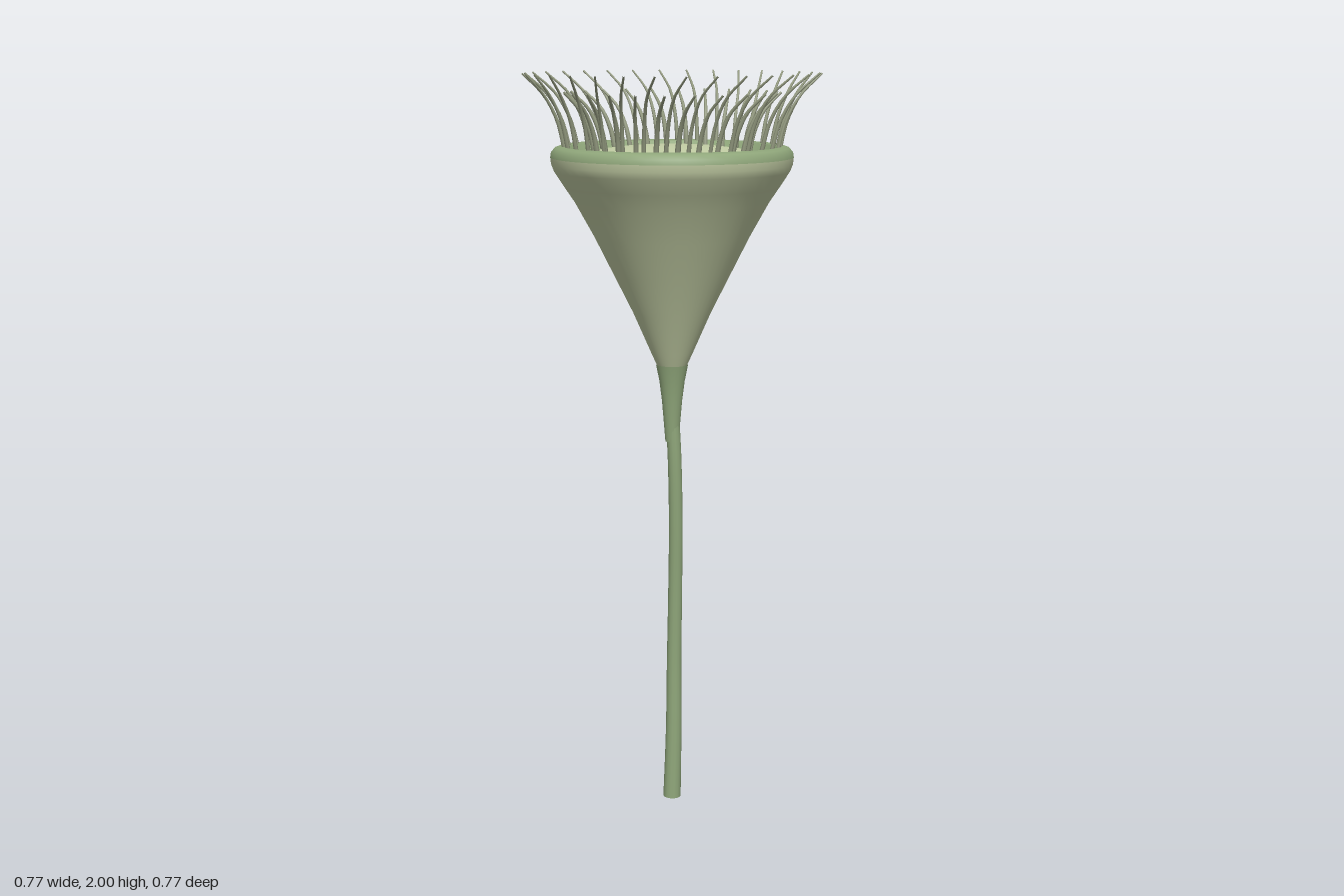
import * as THREE from 'three';
import { toCreasedNormals } from 'three/addons/utils/BufferGeometryUtils.js';

const V = (x, y, z) => new THREE.Vector3(x, y, z);

function material(name, color) {
  const m = new THREE.MeshStandardMaterial({ color });
  m.name = name;
  return m;
}

function mesh(name, geometry, mat) {
  const m = new THREE.Mesh(geometry, mat);
  m.name = name;
  return m;
}

// Surface of revolution from [radius, height] pairs
function lathe(profile, segments = 48) {
  return new THREE.LatheGeometry(profile.map(([r, y]) => new THREE.Vector2(r, y)), segments);
}

// Tube whose radius follows radiusAt(t) along the curve
function taperedTube(points, steps, sides, radiusAt) {
  const curve = new THREE.CatmullRomCurve3(points);
  const geo = new THREE.TubeGeometry(curve, steps, 1, sides);
  const pos = geo.attributes.position;
  const p = V(0, 0, 0);
  for (let i = 0; i <= steps; i++) {
    const centre = curve.getPointAt(i / steps);
    for (let j = 0; j <= sides; j++) {
      const k = i * (sides + 1) + j;
      p.fromBufferAttribute(pos, k).sub(centre).multiplyScalar(radiusAt(i / steps)).add(centre);
      pos.setXYZ(k, p.x, p.y, p.z);
    }
  }
  return geo;
}

// Ring of curved hairs; path rows are [radius, height, angle offset in degrees]
function hairRing(name, count, startDeg, path, baseRadius, tipRadius, mat) {
  const group = new THREE.Group();
  group.name = name;
  const points = path.map(([r, y, deg]) => {
    const a = THREE.MathUtils.degToRad(deg);
    return V(r * Math.cos(a), y, r * Math.sin(a));
  });
  const geo = taperedTube(points, 10, 6, (t) => THREE.MathUtils.lerp(baseRadius, tipRadius, t));
  for (let i = 0; i < count; i++) {
    const hair = mesh('hair', geo, mat);
    hair.rotation.y = -THREE.MathUtils.degToRad(startDeg + (360 / count) * i);
    group.add(hair);
  }
  return group;
}

export function createModel() {
  const pale = material('pale sage', 0xc3cea5);
  const green = material('stalk green', 0x8fa67a);
  const hairMat = material('hair grey green', 0x969d82);

  const model = new THREE.Group();
  model.name = 'bellOrganism';

  // Gently wavy stalk, slightly wider at the foot
  const stalkPath = [
    V(0, 0, 0), V(0.008, 0.2, -0.002), V(0.013, 0.4, -0.006), V(0.014, 0.6, -0.003),
    V(0.010, 0.8, 0.004), V(0.004, 0.98, 0.006), V(0, 1.1, 0.002), V(0, 1.15, 0),
  ];
  model.add(mesh('stalk', taperedTube(stalkPath, 40, 14,
    (t) => 0.0185 + 0.006 * Math.pow(1 - t, 3)), green));
  const foot = mesh('stalkFoot', new THREE.CircleGeometry(0.0245, 14), green);
  foot.rotation.x = Math.PI / 2;
  foot.position.y = 0.0005;
  model.add(foot);

  // Flared neck joining stalk and bell
  model.add(mesh('neck', lathe([
    [0.018, 1.03], [0.022, 1.08], [0.027, 1.14], [0.034, 1.195], [0.043, 1.24],
  ], 24), green));

  // Bell, flaring out to the widest line of the rim
  model.add(mesh('bell', lathe([
    [0.039, 1.235], [0.057, 1.275], [0.103, 1.38], [0.153, 1.48], [0.203, 1.58],
    [0.253, 1.67], [0.280, 1.71], [0.306, 1.75], [0.313, 1.768], [0.315, 1.786],
  ]), pale));

  // Collar: outer bevel, flat lip, sunken groove and rise to the disc
  model.add(mesh('collar', toCreasedNormals(lathe([
    [0.315, 1.786], [0.313, 1.799], [0.304, 1.81], [0.29, 1.815], [0.272, 1.812],
    [0.255, 1.792], [0.24, 1.776], [0.225, 1.784], [0.203, 1.795],
  ]), 0.6), green));

  // Low domed disc inside the collar
  model.add(mesh('disc', toCreasedNormals(lathe([
    [0.208, 1.786], [0.203, 1.795], [0.187, 1.804], [0.125, 1.812], [0.06, 1.816], [0, 1.817],
  ]), 0.3), pale));

  // Two swirling rings of hairs
  model.add(hairRing('outerHairs', 32, 2, [
    [0.277, 1.8, 8.5], [0.297, 1.88, 7], [0.332, 1.945, 4.5], [0.384, 1.998, 0],
  ], 0.006, 0.0025, hairMat));
  model.add(hairRing('innerHairs', 24, 7.5, [
    [0.2, 1.79, 0], [0.213, 1.85, -1.5], [0.238, 1.905, -4], [0.28, 1.95, -8],
  ], 0.0078, 0.003, hairMat));

  return model;
}
